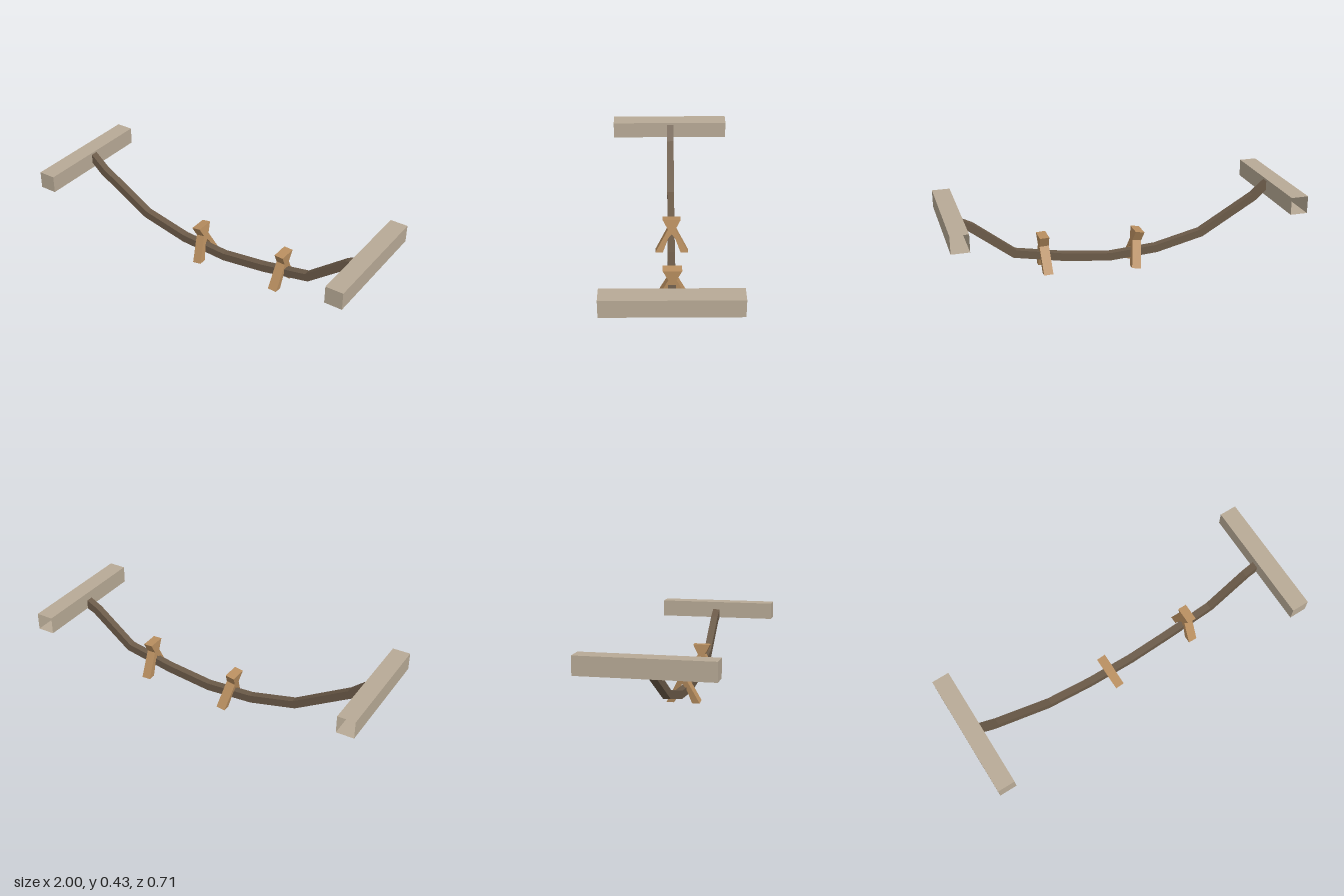
import * as THREE from 'three';

const mat = (name, color, extra = {}) => {
  const m = new THREE.MeshStandardMaterial({ color, ...extra });
  m.name = name;
  return m;
};

// Square rope following centre points [x, y], with mitred upright cross-sections
function ropeGeometry(points, halfThick, halfWidth) {
  const pos = [];
  const rings = points.map(([x, y], i) => {
    const a = points[Math.max(i - 1, 0)], b = points[Math.min(i + 1, points.length - 1)];
    const end = i === 0 || i === points.length - 1;
    const n = end ? new THREE.Vector2(0, 1) : new THREE.Vector2(a[1] - b[1], b[0] - a[0]).normalize();
    const h = end ? halfThick * 1.2 : halfThick;
    return [[1, 1], [1, -1], [-1, -1], [-1, 1]].map(([u, w]) =>
      [x + n.x * u * h, y + n.y * u * h, w * halfWidth]);
  });
  const quad = (a, b, c, d) => pos.push(...a, ...b, ...c, ...a, ...c, ...d);
  for (let i = 0; i < rings.length - 1; i++) {
    for (let k = 0; k < 4; k++) {
      const l = (k + 1) % 4;
      quad(rings[i][k], rings[i + 1][k], rings[i + 1][l], rings[i][l]);
    }
  }
  const last = rings[rings.length - 1];
  quad(...rings[0]);
  quad(last[3], last[2], last[1], last[0]);
  const g = new THREE.BufferGeometry();
  g.setAttribute('position', new THREE.Float32BufferAttribute(pos, 3));
  g.computeVertexNormals();
  return g;
}

export function createModel() {
  const group = new THREE.Group();
  const beamWood = mat('weathered beam', 0xb8aa96, { side: THREE.DoubleSide });
  const ropeBrown = mat('rope brown', 0x6b5a48, { side: THREE.DoubleSide });
  const pegWood = mat('peg wood', 0xb98f60);

  // Beams, open at the back end
  const beamGeo = new THREE.BoxGeometry(0.1, 0.1, 0.714).toNonIndexed();
  beamGeo.clearGroups();
  beamGeo.setDrawRange(0, 30); // the last six vertices are the back face
  for (const name of ['position', 'normal', 'uv']) {
    const a = beamGeo.getAttribute(name);
    beamGeo.setAttribute(name, new THREE.BufferAttribute(a.array.slice(0, 30 * a.itemSize), a.itemSize));
  }
  for (const side of [-1, 1]) {
    const beam = new THREE.Mesh(beamGeo, beamWood);
    beam.name = side > 0 ? 'leftBeam' : 'rightBeam';
    beam.position.set(0.95 * side, 0.385, 0);
    group.add(beam);
  }

  // Sagging line between the beams
  const rope = new THREE.Mesh(ropeGeometry([
    [-0.905, 0.4], [-0.825, 0.331], [-0.5, 0.142], [-0.225, 0.078], [0.058, 0.061],
    [0.322, 0.093], [0.609, 0.149], [0.842, 0.332], [0.905, 0.362],
  ], 0.023, 0.021), ropeBrown);
  rope.name = 'rope';
  rope.position.z = -0.004;
  group.add(rope);

  // Split pegs straddling the rope: flared head, narrow waist, spread legs
  const half = [[0.052, 0.205], [0.022, 0.145], [0.096, 0], [0.052, 0], [0.02, 0.09]];
  const outline = [...half, [0, 0.115], ...half.map(([z, y]) => [-z, y]).reverse()];
  const shape = new THREE.Shape(outline.map(([z, y]) => new THREE.Vector2(z, y)));
  const pegGeo = new THREE.ExtrudeGeometry(shape, { depth: 0.053, bevelEnabled: false });
  pegGeo.translate(0, 0, -0.0265);
  pegGeo.rotateY(Math.PI / 2);
  for (const [name, x, y, tilt] of [['rightPeg', -0.077, 0.005, 0.17], ['leftPeg', 0.437, 0.033, -0.04]]) {
    const peg = new THREE.Mesh(pegGeo, pegWood);
    peg.name = name;
    peg.position.set(x, y, -0.007);
    peg.rotation.z = tilt;
    group.add(peg);
  }
  return group;
}
